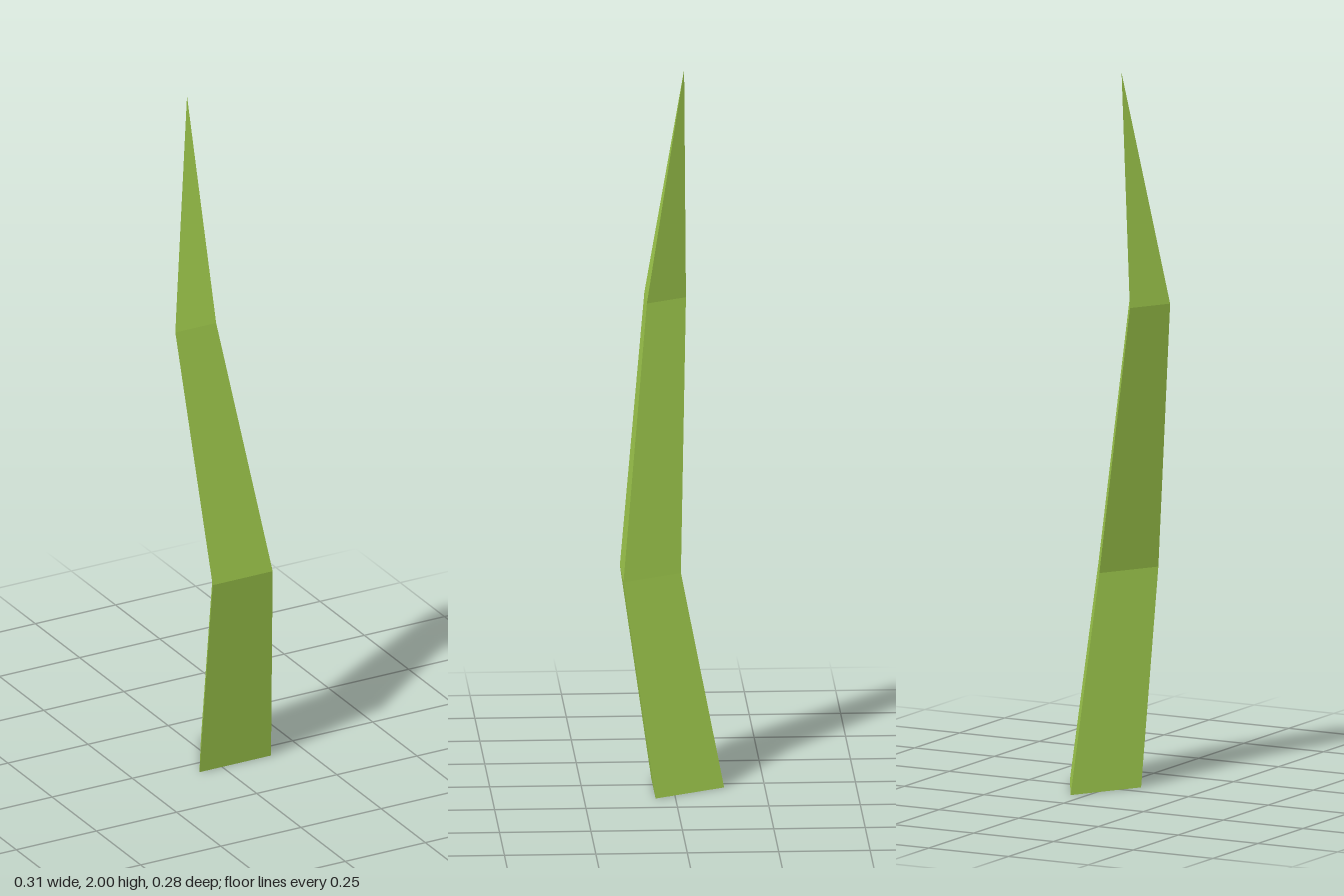
import * as THREE from 'three';

// Spine of the blade: centre x, y, z and radius of each triangular section
const SECTIONS = [
  [0.041, 0, -0.01, 0.129],
  [0.017, 0.6, 0.086, 0.108],
  [-0.09, 1.35, 0.032, 0.0735],
  [-0.06, 2, -0.035, 0],
];
const SIDES = 3;

// Corner of a section: right front, left front, back
function corner([x, y, z, r], i) {
  const a = (-5 / 6 + (i * 2) / SIDES) * Math.PI;
  return [x + r * Math.cos(a), y, z - r * Math.sin(a)];
}

// Faceted open tube tapering to a point
function bladeGeometry() {
  const positions = [];
  for (let s = 0; s < SECTIONS.length - 1; s++) {
    const low = SECTIONS[s], high = SECTIONS[s + 1];
    for (let i = 0; i < SIDES; i++) {
      const a = corner(low, i), b = corner(low, i + 1);
      const c = corner(high, i + 1), d = corner(high, i);
      positions.push(...a, ...b, ...c);
      if (high[3] > 0) positions.push(...a, ...c, ...d);
    }
  }
  const geometry = new THREE.BufferGeometry();
  geometry.setAttribute('position', new THREE.Float32BufferAttribute(positions, 3));
  geometry.computeVertexNormals();
  return geometry;
}

export function createModel() {
  const group = new THREE.Group();
  group.name = 'grassBlade';
  // The base is open, so the inside shows from below
  const green = new THREE.MeshStandardMaterial({
    color: 0xa4d04f, flatShading: true, side: THREE.DoubleSide,
  });
  const blade = new THREE.Mesh(bladeGeometry(), green);
  blade.name = 'blade';
  group.add(blade);
  return group;
}
